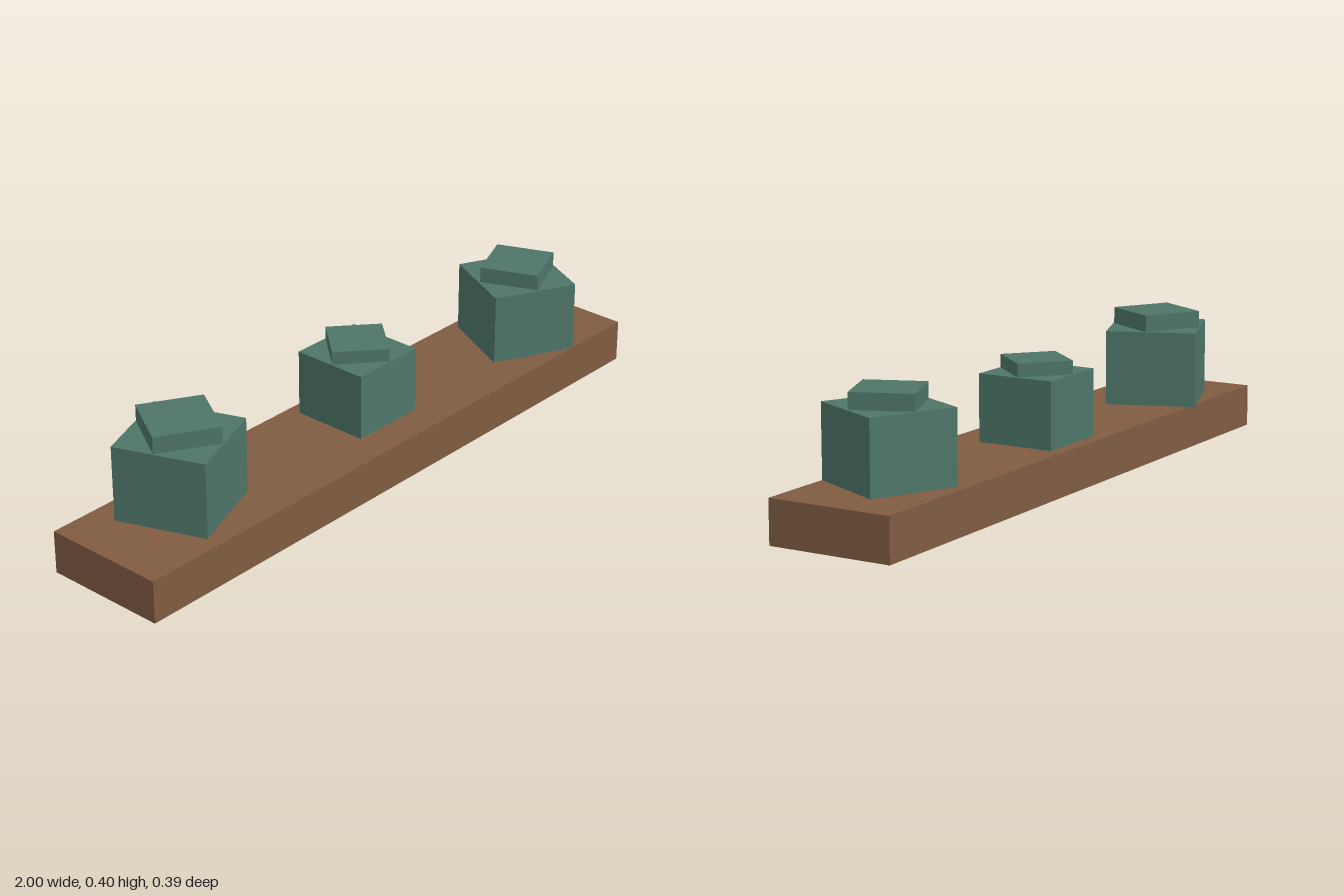
import * as THREE from 'three';

export function createModel() {
  const model = new THREE.Group();
  const brown = new THREE.MeshStandardMaterial({ color: 0x805c42, side: THREE.DoubleSide });
  brown.name = 'brown';
  const green = new THREE.MeshStandardMaterial({ color: 0x4e7567 });
  green.name = 'green';

  // Plinth: a thin-walled box, open underneath (side order +x -x +y -y +z -z)
  const plinthGeometry = new THREE.BoxGeometry(2, 0.127, 0.375);
  const index = Array.from(plinthGeometry.index.array);
  index.splice(18, 6);
  plinthGeometry.setIndex(index);
  plinthGeometry.clearGroups();
  const plinth = new THREE.Mesh(plinthGeometry, brown);
  plinth.name = 'plinth';
  plinth.position.set(0, 0.0635, 0.0105);
  model.add(plinth);

  // Square block standing at height y0, turned by a number of degrees
  function block(name, side, y0, y1, degrees) {
    const mesh = new THREE.Mesh(new THREE.BoxGeometry(side, y1 - y0, side), green);
    mesh.name = name;
    mesh.position.y = (y0 + y1) / 2;
    mesh.rotation.y = THREE.MathUtils.degToRad(degrees);
    return mesh;
  }

  // Three stacks: a large block with a smaller turned cap
  const stacks = [
    { name: 'rightStack', x: -0.68, z: -0.0195, body: [0.271, 0.352, 21], cap: [0.189, 0.402, -30.5] },
    { name: 'middleStack', x: 0.033, z: -0.021, body: [0.236, 0.324, 0], cap: [0.163, 0.363, -41.2] },
    { name: 'leftStack', x: 0.706, z: 0.0235, body: [0.261, 0.339, -26.1], cap: [0.177, 0.386, 22.3] },
  ];
  for (const { name, x, z, body, cap } of stacks) {
    const stack = new THREE.Group();
    stack.name = name;
    stack.position.set(x, 0, z);
    stack.add(block('body', body[0], 0.127, body[1], body[2]));
    stack.add(block('cap', cap[0], body[1], cap[1], cap[2]));
    model.add(stack);
  }
  return model;
}
